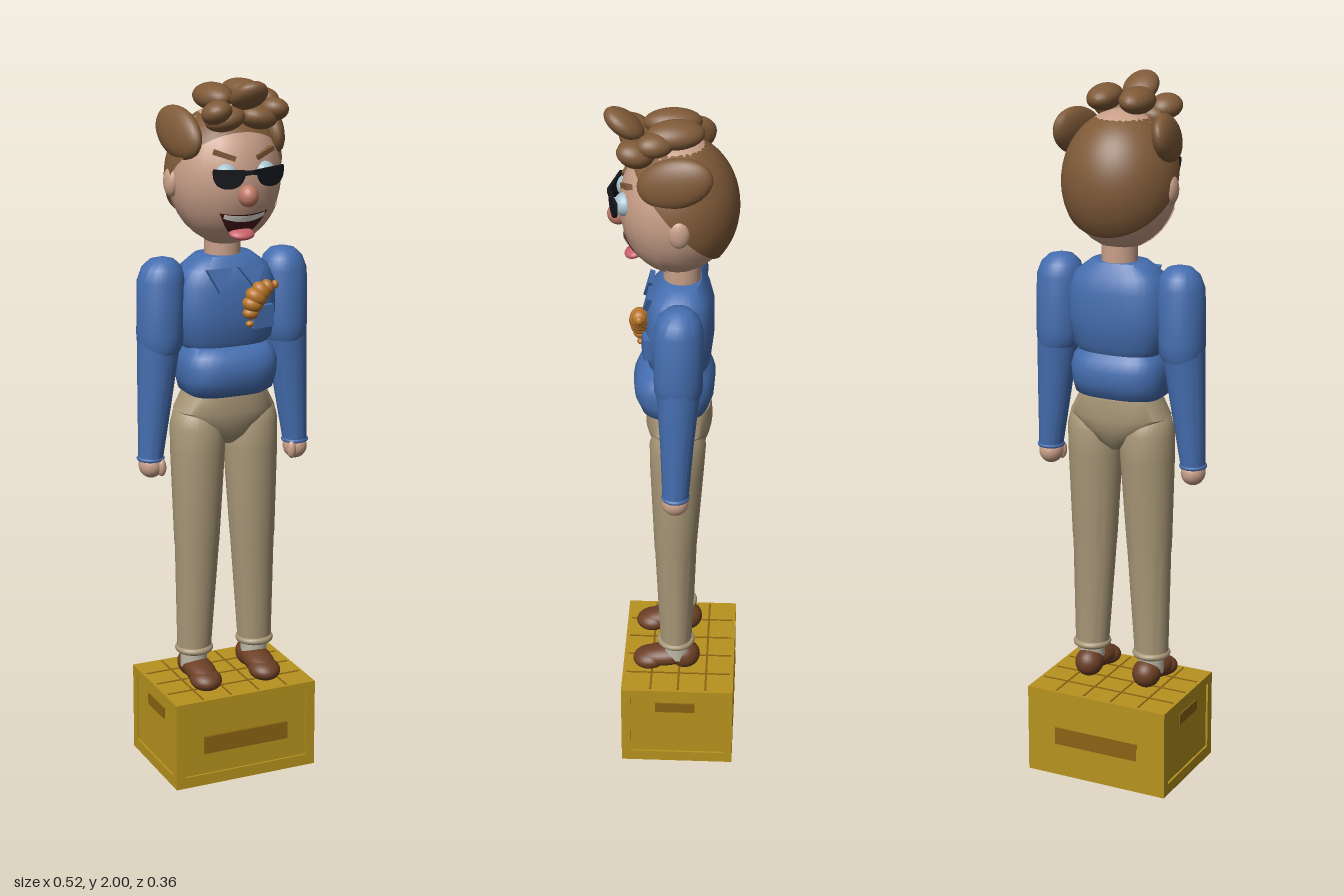
import * as THREE from 'three';
import { toCreasedNormals } from 'three/addons/utils/BufferGeometryUtils.js';

const paint = (color) => new THREE.MeshStandardMaterial({ color, side: THREE.DoubleSide });
const mats = {
  crate: paint(0xb8931f), dark: paint(0x8a6412), shirt: paint(0x456eb0), pants: paint(0xa99878),
  skin: paint(0xc9a089), hair: paint(0x7f5a38), shoe: paint(0x6b3f24), sock: paint(0xbdb9a8),
  black: paint(0x15161a), eye: paint(0xa9c4d0), nose: paint(0xc27a68), mouth: paint(0x4a1a18),
  teeth: paint(0xeeeae0), tongue: paint(0xc9626a), pastry: paint(0xb9762a),
};
const HEAD = { y: 1.73, z: -0.01, rx: 0.155, ry: 0.19, rz: 0.155 };

export function createModel() {
  const model = new THREE.Group();

  const add = (name, geo, mat, pos = [0, 0, 0], rot = [0, 0, 0], parent = model) => {
    const mesh = new THREE.Mesh(geo, mats[mat]);
    mesh.name = name;
    mesh.position.set(...pos);
    mesh.rotation.set(...rot);
    parent.add(mesh);
    return mesh;
  };
  const box = (name, mat, size, pos, rot) => add(name, new THREE.BoxGeometry(...size), mat, pos, rot);
  const blob = (name, mat, radii, pos, rot) =>
    add(name, new THREE.SphereGeometry(1, 24, 16).scale(...radii), mat, pos, rot);

  // Skin over superellipse rings, bottom to top: [y, rx, rz, cx, cz]
  const loft = (rings, power = 2, n = 32) => {
    const pos = [], idx = [];
    const bend = (v) => Math.sign(v) * Math.abs(v) ** (2 / power);
    const first = rings[0], last = rings[rings.length - 1];
    const closed = [[first[0], 0.0001, 0.0001, first[3], first[4]], ...rings,
      [last[0], 0.0001, 0.0001, last[3], last[4]]];
    closed.forEach(([y, rx, rz, cx = 0, cz = 0], j) => {
      for (let i = 0; i < n; i++) {
        const a = (i / n) * Math.PI * 2;
        pos.push(cx + rx * bend(Math.cos(a)), y, cz + rz * bend(Math.sin(a)));
        if (j === closed.length - 1) continue;
        const A = j * n + i, B = j * n + (i + 1) % n;
        idx.push(A, A + n, B, B, A + n, B + n);
      }
    });
    const geo = new THREE.BufferGeometry();
    geo.setAttribute('position', new THREE.Float32BufferAttribute(pos, 3));
    geo.setIndex(idx);
    return toCreasedNormals(geo, 0.8);
  };

  // Grid laid on the front of the head between a lower and an upper curve
  const facePatch = (name, mat, halfWidth, low, high, lift) => {
    const geo = new THREE.PlaneGeometry(2, 1, 16, 6);
    const p = geo.attributes.position;
    for (let i = 0; i < p.count; i++) {
      const u = p.getX(i), x = u * halfWidth;
      const y = THREE.MathUtils.lerp(low(u), high(u), p.getY(i) + 0.5);
      const k = 1 - (x / HEAD.rx) ** 2 - ((y - HEAD.y) / HEAD.ry) ** 2;
      p.setXYZ(i, x, y, HEAD.z + lift + HEAD.rz * Math.sqrt(Math.max(k, 0)));
    }
    geo.computeVertexNormals();
    add(name, geo, mat);
  };

  // Crate body, with rims on the front and both sides
  box('crateBody', 'crate', [0.422, 0.26, 0.319], [0, 0.13, -0.0205]);
  const rim = (w) => {
    const rect = (P, x, y0, y1) => {
      const p = new P();
      p.moveTo(-x, y0); p.lineTo(x, y0); p.lineTo(x, y1); p.lineTo(-x, y1); p.closePath();
      return p;
    };
    const s = rect(THREE.Shape, w / 2, 0, 0.26);
    s.holes.push(rect(THREE.Path, w / 2 - 0.027, 0.033, 0.235));
    return new THREE.ExtrudeGeometry(s, { depth: 0.006, bevelEnabled: false });
  };
  add('crateFrontRim', rim(0.434), 'crate', [0, 0, 0.139]);
  box('crateFrontPlate', 'dark', [0.26, 0.052, 0.012], [0, 0.123, 0.141]);
  box('crateBackPlate', 'dark', [0.26, 0.052, 0.004], [0, 0.123, -0.18]);
  for (const s of [-1, 1]) {
    add('crateSideRim', rim(0.325), 'crate', [s * 0.211, 0, -0.0175], [0, s * Math.PI / 2, 0]);
    box('crateHandle', 'dark', [0.008, 0.032, 0.115], [s * 0.211, 0.197, -0.012]);
  }
  for (const x of [-0.13, -0.043, 0.043, 0.13])
    box('crateTopGroove', 'dark', [0.005, 0.003, 0.305], [x, 0.26, -0.018]);
  for (const z of [-0.1, -0.02, 0.06])
    box('crateTopGroove', 'dark', [0.414, 0.003, 0.006], [0, 0.26, z]);

  // Legs, shoes, arms, ears and eyes, mirrored
  for (const s of [-1, 1]) {
    add('leg', loft([
      [0.36, 0.049, 0.045, s * 0.095, -0.01], [0.67, 0.063, 0.058, s * 0.086, -0.008],
      [0.69, 0.065, 0.06, s * 0.086, -0.008], [0.95, 0.077, 0.075, s * 0.081, -0.012],
      [1.03, 0.077, 0.078, s * 0.081, -0.014], [1.07, 0.066, 0.066, s * 0.083, -0.014],
      [1.095, 0.042, 0.042, s * 0.085, -0.014], [1.105, 0.012, 0.012, s * 0.085, -0.014],
    ]), 'pants');
    add('trouserCuff', new THREE.TorusGeometry(0.045, 0.01, 10, 28), 'pants',
      [s * 0.095, 0.362, -0.01], [Math.PI / 2, 0, 0]);
    add('sock', new THREE.CylinderGeometry(0.038, 0.038, 0.06, 24), 'sock', [s * 0.095, 0.335, -0.013]);
    blob('shoe', 'shoe', [0.043, 0.031, 0.09], [s * 0.092, 0.303, 0.02], [0.14, 0, 0]);
    blob('shoeToe', 'shoe', [0.046, 0.029, 0.05], [s * 0.092, 0.29, 0.066], [0.1, 0, 0]);
    blob('shoeHeel', 'shoe', [0.041, 0.042, 0.045], [s * 0.092, 0.306, -0.035]);

    add('upperArm', loft([
      [1.25, 0.055, 0.058, s * 0.19, -0.02], [1.27, 0.063, 0.065, s * 0.188, -0.02],
      [1.3, 0.065, 0.066, s * 0.188, -0.02], [1.45, 0.066, 0.066, s * 0.184, -0.02],
      [1.485, 0.055, 0.055, s * 0.182, -0.02], [1.505, 0.035, 0.035, s * 0.181, -0.02],
      [1.512, 0.01, 0.01, s * 0.18, -0.02],
    ]), 'shirt');
    add('forearm', loft([
      [0.945, 0.034, 0.036, s * 0.222, -0.014], [1.1, 0.047, 0.045, s * 0.208, -0.017],
      [1.28, 0.06, 0.06, s * 0.192, -0.02],
    ]), 'shirt');
    add('sleeveCuff', new THREE.TorusGeometry(0.033, 0.006, 8, 24), 'shirt',
      [s * 0.222, 0.948, -0.014], [Math.PI / 2, 0, 0]);
    blob('hand', 'skin', [0.034, 0.036, 0.037], [s * 0.222, 0.928, -0.013]);
    blob('thumb', 'skin', [0.013, 0.026, 0.014], [s * 0.2, 0.925, 0.012]);

    blob('ear', 'skin', [0.02, 0.041, 0.029], [s * 0.152, 1.716, -0.02]);
    blob('eye', 'eye', [0.032, 0.032, 0.03], [s * 0.055, 1.75, 0.125]);
    box('brow', 'hair', [0.062, 0.013, 0.016], [s * 0.058, 1.803, 0.121], [0, s * 0.35, s * 0.32]);

    // Sunglass lens, sloping back from the bridge
    const lens = new THREE.Shape();
    lens.moveTo(0, 0.017);
    lens.lineTo(s * 0.104, 0.022);
    lens.bezierCurveTo(s * 0.108, -0.015, s * 0.09, -0.031, s * 0.062, -0.031);
    lens.bezierCurveTo(s * 0.035, -0.031, s * 0.022, -0.015, s * 0.018, 0.004);
    lens.lineTo(0, 0.006);
    add('sunglassLens', new THREE.ExtrudeGeometry(lens, { depth: 0.008, bevelEnabled: false }),
      'black', [0, 1.75, 0.168], [0, s * 0.26, 0]);

    // Shirt collar point
    const flap = new THREE.Shape();
    flap.moveTo(s * 0.008, 0.03); flap.lineTo(s * 0.085, 0.03); flap.lineTo(s * 0.054, -0.035);
    add('collar', new THREE.ExtrudeGeometry(flap, { depth: 0.014, bevelEnabled: false }),
      'shirt', [0, 1.452, 0.063], [-0.3, 0, 0]);
  }

  // Pelvis, belly and chest
  add('pelvis', loft([
    [0.975, 0.02, 0.045, 0, -0.015], [1.0, 0.065, 0.068, 0, -0.015], [1.04, 0.115, 0.085, 0, -0.015],
    [1.075, 0.145, 0.092, 0, -0.015], [1.13, 0.116, 0.088, 0, -0.015],
  ], 2.4), 'pants');
  add('belly', loft([
    [1.12, 0.11, 0.075, 0, -0.005], [1.135, 0.13, 0.095, 0, -0.003], [1.17, 0.137, 0.109, 0, -0.002],
    [1.21, 0.14, 0.112, 0, -0.002], [1.24, 0.133, 0.1, 0, -0.003], [1.262, 0.115, 0.08, 0, -0.005],
  ], 2.8), 'shirt');
  add('chest', loft([
    [1.25, 0.115, 0.072, 0, -0.015], [1.275, 0.135, 0.086, 0, -0.015], [1.35, 0.146, 0.094, 0, -0.016],
    [1.43, 0.144, 0.092, 0, -0.017], [1.475, 0.125, 0.08, 0, -0.018], [1.51, 0.08, 0.055, 0, -0.02],
  ], 2.6), 'shirt');
  box('pocket', 'shirt', [0.064, 0.062, 0.022], [0.078, 1.342, 0.07], [0, 0.15, 0]);

  // Crescent pastry in the pocket
  const crescent = new THREE.QuadraticBezierCurve3(
    new THREE.Vector3(0.108, 1.432, 0.088), new THREE.Vector3(0.03, 1.425, 0.092),
    new THREE.Vector3(0.033, 1.328, 0.088));
  for (let i = 0; i <= 6; i++) {
    const t = i / 6, r = 0.012 + 0.02 * Math.sin(t * Math.PI), d = crescent.getTangent(t);
    blob('pastrySegment', 'pastry', [r * 0.75, r, r * 0.9], crescent.getPoint(t).toArray(),
      [0, 0, Math.atan2(d.y, d.x)]);
  }

  // Neck, head and hinged jaw
  add('neck', new THREE.CylinderGeometry(0.05, 0.05, 0.12, 28), 'skin', [0, 1.54, -0.022]);
  blob('head', 'skin', [HEAD.rx, HEAD.ry, HEAD.rz], [0, HEAD.y, HEAD.z]);
  add('jaw', new THREE.SphereGeometry(1, 32, 10, 0.33, Math.PI - 0.66, 2.0, Math.PI - 2.0)
    .scale(HEAD.rx + 0.003, HEAD.ry + 0.003, HEAD.rz + 0.003), 'skin', [0, HEAD.y, HEAD.z]);
  blob('nose', 'nose', [0.027, 0.03, 0.03], [0, 1.695, 0.147]);
  const smile = (u) => 1.642 + 0.006 * u * u;
  facePatch('mouth', 'mouth', 0.07, (u) => 1.572 + 0.075 * u * u, smile, 0.006);
  facePatch('teeth', 'teeth', 0.06, (u) => 1.621 + 0.012 * u * u, (u) => smile(u) - 0.003, 0.009);
  blob('tongue', 'tongue', [0.036, 0.014, 0.028], [0, 1.585, 0.105], [0.3, 0, 0]);

  // Hair cap tilted to the back, then the tufts
  add('hairCap', new THREE.SphereGeometry(0.164, 40, 20, 0, Math.PI * 2, 0, Math.PI / 2)
    .rotateX(-0.77).scale(1, 1.17, 1), 'hair', [0, 1.725, -0.01]);
  const tufts = [
    [[0.046, 0.036, 0.077], [-0.04, 1.943, 0.004], [0, 0.1, 0.15]],
    [[0.048, 0.036, 0.077], [0.052, 1.948, -0.006], [0, 0.22, -0.15]],
    [[0.036, 0.03, 0.05], [0.09, 1.935, 0.045], [0, 0.3, -0.3]],
    [[0.05, 0.03, 0.06], [0.01, 1.958, 0.128], [-0.6, 0, 0]],
    [[0.042, 0.032, 0.05], [-0.075, 1.915, 0.11], [-0.2, -0.3, 0.2]],
    [[0.04, 0.032, 0.05], [0.093, 1.912, 0.095], [-0.2, 0.3, -0.2]],
    [[0.055, 0.033, 0.05], [-0.045, 1.895, 0.095], [0, -0.2, 0.2]],
    [[0.055, 0.033, 0.05], [0.05, 1.895, 0.095], [0, 0.2, -0.2]],
    [[0.033, 0.066, 0.103], [-0.134, 1.85, -0.008], [0.3, 0.16, -0.2]],
    [[0.033, 0.066, 0.103], [0.134, 1.85, -0.008], [0.3, -0.16, 0.2]],
  ];
  for (const [radii, pos, rot] of tufts) blob('hairTuft', 'hair', radii, pos, rot);

  return model;
}
